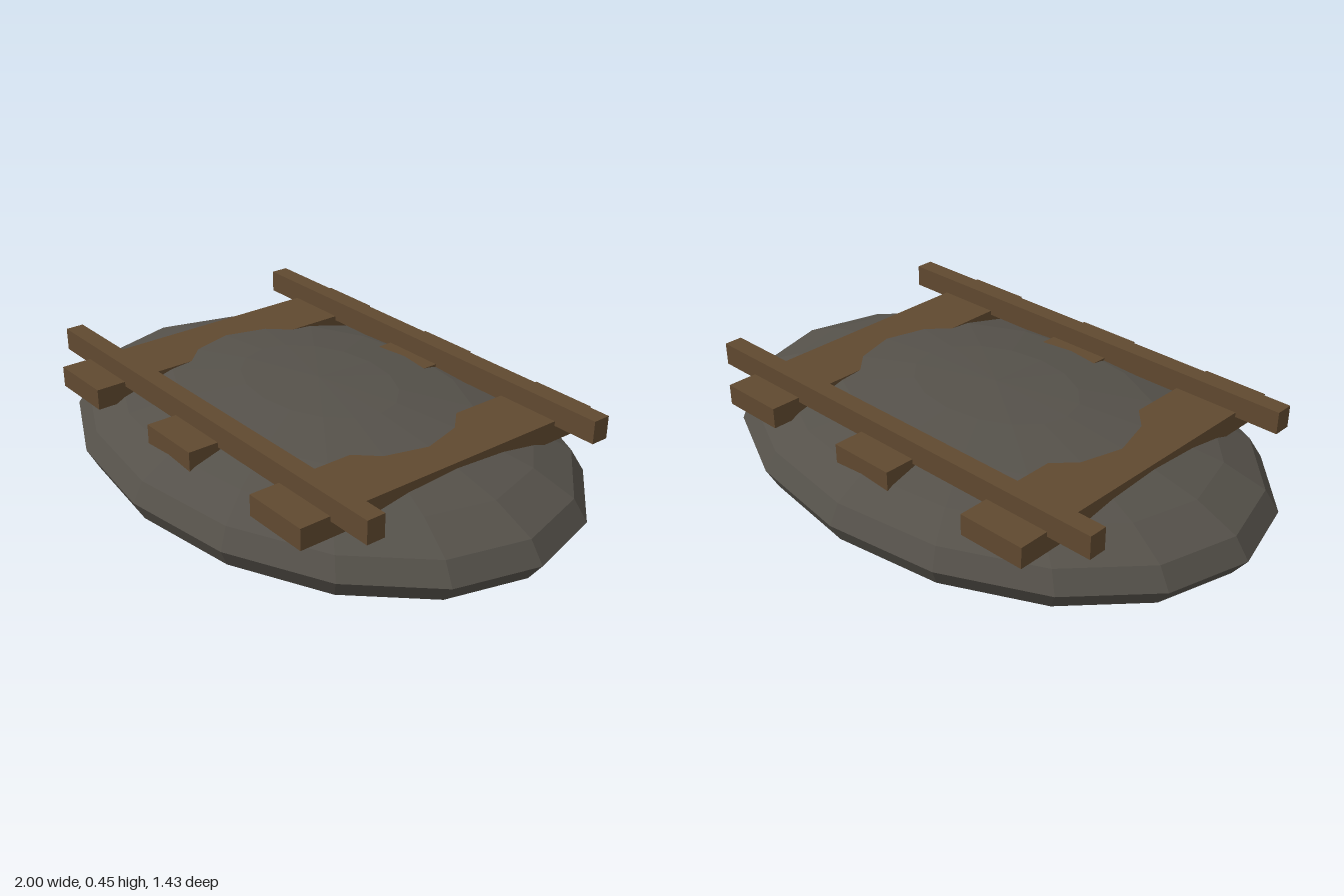
import * as THREE from 'three';

export function createModel() {
  const model = new THREE.Group();
  const hullMat = new THREE.MeshStandardMaterial({ color: 0x55514a, flatShading: true });
  hullMat.name = 'dark hide';
  const woodMat = new THREE.MeshStandardMaterial({ color: 0x604930, flatShading: true });
  woodMat.name = 'brown wood';
  const knobMat = new THREE.MeshStandardMaterial({ color: 0x3a3732, flatShading: true });
  knobMat.name = 'dark knob';

  function add(name, geometry, material, x, y, z) {
    const mesh = new THREE.Mesh(geometry, material);
    mesh.name = name;
    mesh.position.set(x, y, z);
    model.add(mesh);
    return mesh;
  }

  // Flattened oval body
  const body = new THREE.SphereGeometry(1, 16, 10);
  body.scale(1, 0.212, 0.713);
  add('body', body, hullMat, 0, 0.217, 0);

  // Wide planks across the body, partly sunk into its top
  for (const x of [-0.535, 0, 0.535]) {
    add('crossPlank', new THREE.BoxGeometry(0.23, 0.07, 1.16), woodMat, x, 0.36, 0);
  }

  // Long rails resting on the planks
  for (const side of [-1, 1]) {
    add('rail', new THREE.BoxGeometry(1.605, 0.076, 0.062), woodMat, 0, 0.417, side * 0.446);
  }

  // Small knob with a pointed tip low on one flank
  const knob = new THREE.SphereGeometry(0.035, 8, 6);
  knob.scale(0.9, 0.6, 1);
  add('knob', knob, knobMat, 0.815, 0.137, -0.335);
  add('knobTip', new THREE.ConeGeometry(0.008, 0.03, 5), knobMat, 0.83, 0.163, -0.345);

  return model;
}
